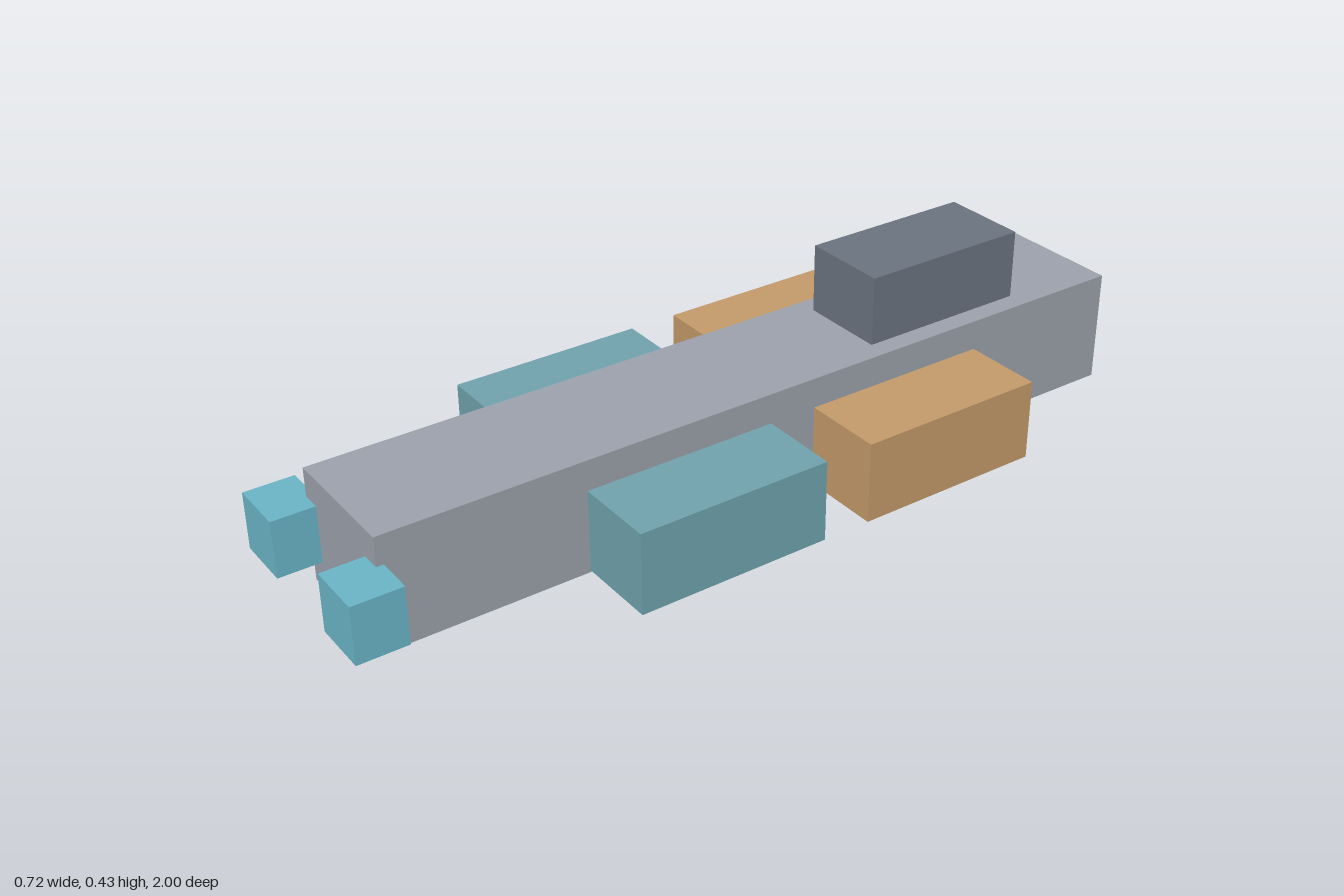
import * as THREE from 'three';

const paint = (name, color) => {
  const m = new THREE.MeshStandardMaterial({ color });
  m.name = name;
  return m;
};

// Box given by its minimum and maximum along each axis
function block(name, material, [x0, x1], [y0, y1], [z0, z1]) {
  const mesh = new THREE.Mesh(new THREE.BoxGeometry(x1 - x0, y1 - y0, z1 - z0), material);
  mesh.position.set((x0 + x1) / 2, (y0 + y1) / 2, (z0 + z1) / 2);
  mesh.name = name;
  return mesh;
}

export function createModel() {
  const hullGrey = paint('hull grey', 0x9ca2ac);
  const slate = paint('slate', 0x6b7480);
  const teal = paint('teal', 0x70a3ae);
  const tan = paint('tan', 0xc49a6a);
  const cyan = paint('cyan', 0x6ab5c7);

  const model = new THREE.Group();
  model.name = 'cargoShip';

  // Long central hull with the bridge on top near the back
  model.add(block('hull', hullGrey, [-0.152, 0.152], [0, 0.267], [-1, 0.902]));
  model.add(block('bridge', slate, [-0.104, 0.104], [0.267, 0.429], [-0.75, -0.336]));

  // Window strip on the back face of the bridge
  model.add(block('bridgeWindow', cyan, [-0.092, 0.092], [0.3, 0.381], [-0.752, -0.746]));

  // Cargo containers and engines, mirrored on both sides
  for (const [side, s] of [['left', 1], ['right', -1]]) {
    const across = (a, b) => (s > 0 ? [a, b] : [-b, -a]);
    model.add(block(side + 'FrontContainer', teal, across(0.171, 0.361), [0.02, 0.21], [-0.01, 0.446]));
    model.add(block(side + 'BackContainer', tan, across(0.171, 0.361), [0.02, 0.21], [-0.581, -0.125]));
    model.add(block(side + 'Engine', cyan, across(0.107, 0.239), [0.067, 0.2], [0.886, 1]));
  }
  return model;
}
